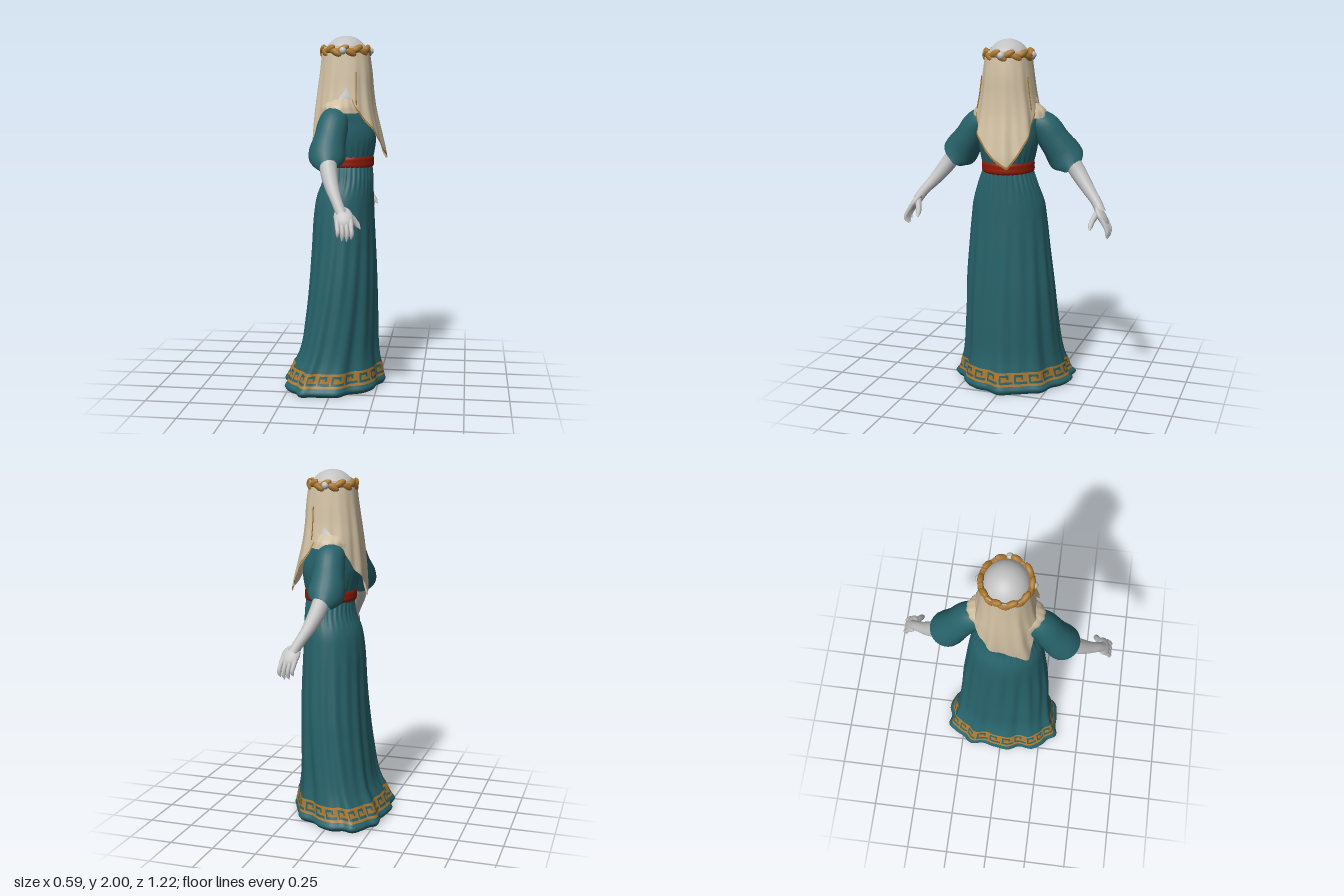
import * as THREE from 'three';

const mat = (name, color, side = THREE.FrontSide) => {
  const m = new THREE.MeshStandardMaterial({ color, side });
  m.name = name;
  return m;
};
const teal = mat('teal cloth', 0x27626a, THREE.DoubleSide);
const cream = mat('cream veil', 0xd0bfa2, THREE.DoubleSide);
const gold = mat('gold', 0xaa7830, THREE.DoubleSide);
const red = mat('red belt', 0x8e1a06);
const skin = mat('pale skin', 0xc2c2c3);
const dark = mat('dark lining', 0x1a3c2c);

const V = (x, y, z) => new THREE.Vector3(x, y, z);
const mesh = (name, geo, m) => {
  const o = new THREE.Mesh(geo, m);
  o.name = name;
  return o;
};

// Smooth lookup in rows of [key, value, value, ...]
function table(rows) {
  const n = rows[0].length - 1;
  const it = new THREE.CubicInterpolant(rows.map(r => r[0]), rows.flatMap(r => r.slice(1)), n, new Float32Array(n));
  const lo = rows[0][0], hi = rows[rows.length - 1][0];
  return k => Array.from(it.evaluate(Math.min(hi, Math.max(lo, k))));
}

// Closed surface: fn(angle, t), with t running from the bottom to the top
function loft(fn, cols, rows) {
  const pos = [], idx = [];
  for (let j = 0; j <= rows; j++)
    for (let i = 0; i < cols; i++) pos.push(...fn(i / cols * Math.PI * 2, j / rows).toArray());
  for (let j = 0; j < rows; j++)
    for (let i = 0; i < cols; i++) {
      const a = j * cols + i, b = j * cols + (i + 1) % cols;
      idx.push(a, a + cols, b, b, a + cols, b + cols);
    }
  const g = new THREE.BufferGeometry();
  g.setAttribute('position', new THREE.Float32BufferAttribute(pos, 3));
  g.setIndex(idx);
  g.computeVertexNormals();
  return g;
}

// Oval rings of [y, xBack, xFront, zHalf]; fold(angle, y) adds to the radius
function ovalLoft(rings, cols, rows, fold = () => 0) {
  const f = table(rings), y0 = rings[0][0], y1 = rings[rings.length - 1][0];
  return loft((a, t) => {
    const y = y0 + (y1 - y0) * t, [b, fr, z] = f(y), k = fold(a, y);
    return V((b + fr) / 2 + ((fr - b) / 2 + k) * Math.cos(a), y, (z + k) * Math.sin(a));
  }, cols, rows);
}

// Tapered tube along a curve
function limb(points, radii, segs = 16, sides = 12) {
  const curve = new THREE.CatmullRomCurve3(points.map(p => V(...p)));
  const g = new THREE.TubeGeometry(curve, segs, 1, sides);
  const r = table(radii.map((v, i) => [i / (radii.length - 1), v]));
  const p = g.attributes.position, v = V(0, 0, 0);
  for (let i = 0; i <= segs; i++) {
    const c = curve.getPointAt(i / segs), s = Math.max(0.0005, r(i / segs)[0]);
    for (let j = 0; j <= sides; j++) {
      const k = i * (sides + 1) + j;
      v.fromBufferAttribute(p, k).sub(c).multiplyScalar(s).add(c);
      p.setXYZ(k, v.x, v.y, v.z);
    }
  }
  return g;
}

function ball(name, m, [x, y, z], [a, b, c], geo = new THREE.SphereGeometry(1, 28, 18)) {
  const o = mesh(name, geo, m);
  o.position.set(x, y, z);
  o.scale.set(a, b, c);
  return o;
}

// Skirt surface, flared and scalloped at the hem
const skirtRings = table([
  [0, -0.268, 0.265, 0.335], [0.025, -0.285, 0.278, 0.356], [0.05, -0.268, 0.268, 0.332], [0.12, -0.236, 0.255, 0.31],
  [0.2, -0.2, 0.243, 0.293], [0.4, -0.168, 0.238, 0.273], [0.6, -0.148, 0.234, 0.259], [0.8, -0.135, 0.227, 0.239],
  [1, -0.124, 0.219, 0.219], [1.1, -0.108, 0.216, 0.205], [1.2, -0.07, 0.212, 0.17], [1.29, -0.065, 0.205, 0.138]]);
function skirtPoint(a, y, out = 0) {
  const [b, f, z] = skirtRings(y), flare = Math.max(0, 1 - y / 1.1);
  const k = out + 0.011 * flare * flare * Math.cos(10 * a + 0.6) + 0.004 * Math.cos(17 * a + 2 * y)
    * Math.min(1, flare * 3) + 0.003 * Math.cos(32 * a) * Math.max(0, 1 - Math.abs(y - 1.23) / 0.12);
  const s = Math.sin(a);
  return V((b + f) / 2 + ((f - b) / 2 + k) * Math.cos(a) - 0.085 * flare * flare * s * s, y, (z + k) * s);
}

// Key-pattern border made of small faces lying on the skirt
function hemBorder() {
  const key = ['########', '.......#', '######.#', '##.###.#', '##.....#', '########'];
  const cols = 192, y0 = 0.05, h = 0.0133, pos = [];
  for (let r = 0; r < key.length; r++)
    for (let c = 0; c < cols; c++) {
      if (key[r][c % 8] !== '#') continue;
      const at = (i, j) => skirtPoint((c + i) / cols * Math.PI * 2, y0 + (r + j) * h, 0.004).toArray();
      pos.push(...at(0, 0), ...at(0, 1), ...at(1, 0), ...at(1, 0), ...at(0, 1), ...at(1, 1));
    }
  const g = new THREE.BufferGeometry();
  g.setAttribute('position', new THREE.Float32BufferAttribute(pos, 3));
  g.computeVertexNormals();
  return g;
}

// Veil: long in front and behind, open over both shoulders
const veilRings = table([[1.25, -0.125, 0.275, 0.235], [1.35, -0.13, 0.275, 0.22], [1.45, -0.128, 0.255, 0.195],
  [1.6, -0.115, 0.222, 0.172], [1.7, -0.103, 0.21, 0.153], [1.8, -0.09, 0.203, 0.14], [1.94, -0.075, 0.185, 0.122]]);
const hemPoints = [[-180, 1.38], [-150, 1.46], [-115, 1.6], [-90, 1.69], [-72, 1.59], [-48, 1.47], [-12, 1.31], [0, 1.345],
  [30, 1.46], [68, 1.6], [84, 1.72], [95, 1.65], [118, 1.56], [146, 1.27], [180, 1.38]];
function veilHem(a) {
  let d = a * 180 / Math.PI;
  if (d > 180) d -= 360;
  const i = Math.max(1, hemPoints.findIndex(p => p[0] >= d)), [d0, h0] = hemPoints[i - 1], [d1, h1] = hemPoints[i];
  return h0 + (h1 - h0) * (d - d0) / (d1 - d0);
}
function veilPoint(a, y, out = 0) {
  const [b, f, z] = veilRings(y), drop = (1.94 - y) / 0.6;
  const k = out + drop * (0.007 * Math.cos(9 * a + 1) + 0.004 * Math.cos(16 * a - 3 * y));
  const square = v => Math.sign(v) * Math.abs(v) ** 0.85;
  return V((b + f) / 2 + ((f - b) / 2 + k) * square(Math.cos(a)), y, (z + k) * square(Math.sin(a)));
}

// Sleeve, forearm and hand for the +z side
function arm(name) {
  const g = new THREE.Group();
  g.name = name;
  g.add(mesh('sleeve', limb(
    [[0.01, 1.545, 0.13], [0.01, 1.522, 0.19], [0, 1.44, 0.252], [-0.008, 1.365, 0.305], [-0.005, 1.315, 0.336], [0, 1.285, 0.353]],
    [0.07, 0.08, 0.086, 0.087, 0.092, 0.1, 0.094, 0.045], 36, 24), teal));
  g.add(mesh('forearm', limb(
    [[0, 1.36, 0.33], [0.01, 1.28, 0.385], [0.04, 1.19, 0.455], [0.075, 1.12, 0.515], [0.1, 1.07, 0.547]],
    [0.045, 0.046, 0.039, 0.03, 0.028], 20, 16), skin));
  const palm = ball('palm', skin, [0.11, 1.055, 0.552], [0.05, 0.062, 0.022]);
  palm.rotation.set(-0.6, 0, 0.3);
  g.add(palm);
  for (let i = 0; i < 4; i++) {
    const x = 0.077 + i * 0.024, tip = [0.955, 0.935, 0.934, 0.946][i];
    g.add(mesh('finger', limb(
      [[x, 1.045, 0.56], [x + 0.006, 1.005, 0.585], [x + 0.01, (1.005 + tip) / 2, 0.596], [x + 0.006, tip, 0.588]],
      [0.014, 0.014, 0.013, 0.012, 0.011, 0.002], 14, 8), skin));
  }
  g.add(mesh('thumb', limb([[0.105, 1.085, 0.54], [0.148, 1.05, 0.518], [0.172, 1.02, 0.508], [0.194, 0.988, 0.505]],
    [0.022, 0.021, 0.018, 0.016, 0.014, 0.002], 14, 8), skin));
  return g;
}

// Braided wreath of overlapping leaves with pale blossoms
function wreath() {
  const g = new THREE.Group();
  g.name = 'wreath';
  const R = 0.128, n = 20, leafShape = new THREE.SphereGeometry(1, 10, 8);
  const ring = mesh('wreathBand', new THREE.TorusGeometry(R, 0.014, 10, 48), gold);
  ring.rotation.x = Math.PI / 2;
  g.add(ring);
  for (let i = 0; i < n; i++) {
    const a = i / n * Math.PI * 2, s = i % 2 ? 1 : -1;
    const leaf = ball('leaf', gold, [R * Math.cos(a), s * 0.009, R * Math.sin(a)], [0.018, 0.02, 0.038], leafShape);
    leaf.rotation.order = 'YXZ';
    leaf.rotation.set(s * 0.5, -a, 0);
    g.add(leaf);
  }
  for (const a of [0, Math.PI / 2, -Math.PI / 2])
    g.add(ball('blossom', skin, [(R + 0.009) * Math.cos(a), 0, (R + 0.009) * Math.sin(a)], [0.02, 0.021, 0.02]));
  g.position.set(0.055, 1.916, 0);
  return g;
}

export function createModel() {
  const model = new THREE.Group();
  model.name = 'robedFigure';

  // Skirt, border, lining and toes
  model.add(mesh('skirt', loft((a, t) => skirtPoint(a, 1.29 * t ** 1.3), 192, 64), teal));
  model.add(mesh('hemBorder', hemBorder(), gold));
  model.add(mesh('skirtLining', loft((a, t) => {
    const p = skirtPoint(a, 0.01);
    return V(p.x * t * 0.99, 0.01, p.z * t * 0.99);
  }, 96, 1), dark));
  for (const [x, z] of [[0.195, 0.1], [0.178, -0.13]]) model.add(ball('foot', skin, [x, 0.013, z], [0.045, 0.013, 0.026]));

  // Belt, bodice and shoulder wrap
  model.add(mesh('belt', ovalLoft([[1.265, -0.07, 0.205, 0.138], [1.275, -0.078, 0.214, 0.147],
    [1.3, -0.08, 0.215, 0.148], [1.325, -0.078, 0.214, 0.147], [1.337, -0.07, 0.205, 0.138]], 64, 10), red));
  model.add(mesh('bodice', ovalLoft([[1.3, -0.068, 0.203, 0.136], [1.36, -0.085, 0.218, 0.153], [1.44, -0.1, 0.226, 0.168],
    [1.52, -0.1, 0.2, 0.172], [1.59, -0.09, 0.15, 0.17], [1.63, -0.05, 0.1, 0.12]], 96, 24,
  (a, y) => 0.004 * Math.cos(28 * a) * Math.max(0, 1 - (y - 1.3) / 0.15)), teal));
  model.add(mesh('shoulderWrap', ovalLoft([[1.575, -0.095, 0.165, 0.212], [1.615, -0.09, 0.15, 0.2],
    [1.652, -0.07, 0.13, 0.155]], 64, 10, a => 0.003 * Math.cos(18 * a)), cream));

  // Head, neck and shoulders
  model.add(mesh('neck', ovalLoft([[1.63, -0.07, 0.13, 0.155], [1.665, -0.055, 0.12, 0.125], [1.7, -0.015, 0.1, 0.07],
    [1.74, -0.005, 0.095, 0.052], [1.8, 0, 0.1, 0.052]], 32, 14), skin));
  model.add(ball('head', skin, [0.057, 1.86, 0], [0.134, 0.14, 0.127]));

  // Veil with trim along the front panel
  model.add(mesh('veil', loft((a, t) => {
    const y0 = veilHem(a);
    return veilPoint(a, y0 + (1.94 - y0) * t);
  }, 144, 32), cream));
  model.add(mesh('veilTrim', loft((a, t) =>
    veilPoint(a, veilHem(a) + (Math.cos(a) > 0.3 ? 0.014 * t : 0), 0.003), 144, 1), gold));
  for (const a of [1.15, -1.15])
    model.add(mesh('panelEdge', limb([1.62, 1.68, 1.74, 1.8].map(y => veilPoint(a, y, 0.003).toArray()),
      [0.003, 0.003, 0.003], 12, 6), gold));
  model.add(wreath());

  // Mirrored arms
  const far = arm('backArm');
  far.scale.z = -1;
  model.add(arm('frontArm'), far);
  return model;
}
